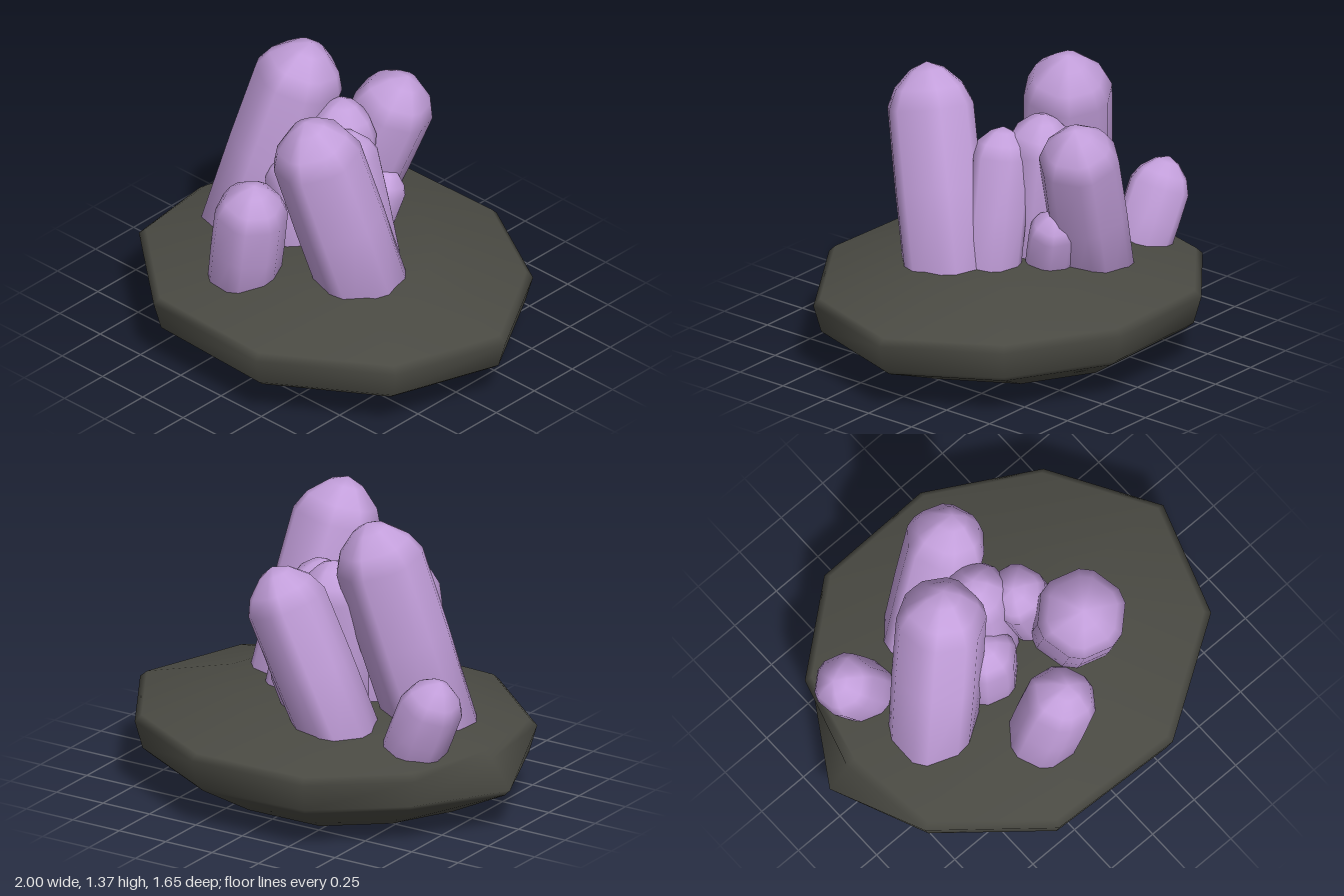
import * as THREE from 'three';

// Closed smooth skin through rings of points, listed from bottom to top
function loft(rings, bottom, top) {
  const n = rings[0].length;
  const points = [...rings.flat(), bottom, top];
  const lo = points.length - 2, hi = points.length - 1;
  const last = (rings.length - 1) * n;
  const index = [];
  for (let j = 0; j < n; j++) {
    const k = (j + 1) % n;
    index.push(lo, j, k, hi, last + k, last + j);
    for (let i = 0; i < rings.length - 1; i++) {
      const a = i * n + j, b = i * n + k;
      index.push(a, a + n, b, b, a + n, b + n);
    }
  }
  const geometry = new THREE.BufferGeometry().setFromPoints(points);
  geometry.setIndex(index);
  geometry.computeVertexNormals();
  return geometry;
}

// Six-sided prism with bevelled edges and a domed point, base and shoulder given as centres
function crystalGeometry(base, shoulder, r, spin) {
  const from = new THREE.Vector3(...base), to = new THREE.Vector3(...shoulder);
  const dir = to.clone().sub(from).normalize();
  const length = from.distanceTo(to);
  const profile = [[-0.12, 0.98], [length * 0.5, 1.01], [length, 1],
    [length + r * 0.42, 0.8], [length + r * 0.8, 0.4]];
  const rings = profile.map(([y, s]) => {
    const ring = [];
    for (let k = 0; k < 6; k++) {
      for (const side of [-1, 1]) {
        const a = spin + k * Math.PI / 3 + side * 0.17;
        ring.push(new THREE.Vector3(Math.cos(a) * r * s, y, Math.sin(a) * r * s));
      }
    }
    return ring;
  });
  const geometry = loft(rings, new THREE.Vector3(0, -0.12, 0),
    new THREE.Vector3(0, length + r * 0.97, 0));
  geometry.applyQuaternion(new THREE.Quaternion().setFromUnitVectors(new THREE.Vector3(0, 1, 0), dir));
  return geometry.translate(...base);
}

function rockGeometry() {
  const outline = [[-0.37, -0.82], [0.22, -0.83], [0.71, -0.55], [1, -0.06], [0.82, 0.47],
    [0.28, 0.82], [-0.38, 0.79], [-0.84, 0.4], [-1, -0.07], [-0.77, -0.5]];
  const chip = 8; // corner whose upper rim is broken off
  const ring = (scale, height, dx = 0, dz = 0, chipScale = scale) => outline.map(([x, z], i) => {
    const s = i === chip ? chipScale : scale;
    const px = x * s + dx, pz = z * s + dz;
    return new THREE.Vector3(px, height(px, pz), pz);
  });
  const rings = [
    ring(0.64, () => 0.05, -0.06, -0.04),
    ring(0.92, () => 0.18, 0, 0, 0.97),
    ring(0.96, () => 0.21, 0, 0, 1),
    ring(1, () => 0.34, 0, 0, 0.9),
    ring(0.965, () => 0.37, 0, 0, 0.86),
    ring(0.52, (x, z) => 0.475 + 0.03 * x + 0.02 * z),
  ];
  return loft(rings, new THREE.Vector3(-0.07, 0, -0.06), new THREE.Vector3(0.02, 0.5, 0.05));
}

export function createModel() {
  const group = new THREE.Group();
  const crystal = new THREE.MeshStandardMaterial({ name: 'lilac crystal', color: 0xc39fdb });
  const rock = new THREE.MeshStandardMaterial({ name: 'dark rock', color: 0x4a4a43 });
  const add = (name, geometry, material) => {
    const mesh = new THREE.Mesh(geometry, material);
    mesh.name = name;
    group.add(mesh);
  };

  add('rockBase', rockGeometry(), rock);

  // name, base centre, shoulder centre, radius, spin
  const crystals = [
    ['tallRightCrystal', [-0.48, 0.45, 0.05], [-0.31, 1.18, -0.09], 0.205, 0.5],
    ['tallLeftCrystal', [0.29, 0.45, 0.13], [0.18, 1.16, 0.31], 0.205, 0.3],
    ['frontCrystal', [-0.16, 0.42, 0.43], [-0.08, 0.82, 0.465], 0.165, 0.1],
    ['smallRightCrystal', [-0.6, 0.36, -0.27], [-0.72, 0.63, -0.29], 0.145, 0.4],
    ['backCrystal', [-0.23, 0.42, -0.31], [-0.01, 1.02, -0.4], 0.185, 0.2],
    ['middleCrystal', [-0.08, 0.42, -0.06], [-0.08, 0.99, -0.12], 0.165, 0.6],
    ['innerLeftCrystal', [0.18, 0.45, -0.04], [0.07, 0.96, -0.01], 0.14, 0.2],
    ['innerFrontCrystal', [-0.17, 0.42, 0.06], [-0.18, 0.77, 0.06], 0.145, 0.3],
    ['smallBackCrystal', [-0.02, 0.42, -0.21], [0.03, 0.65, -0.28], 0.11, 0.5],
  ];
  for (const [name, base, shoulder, radius, spin] of crystals) {
    add(name, crystalGeometry(base, shoulder, radius, spin), crystal);
  }
  return group;
}
